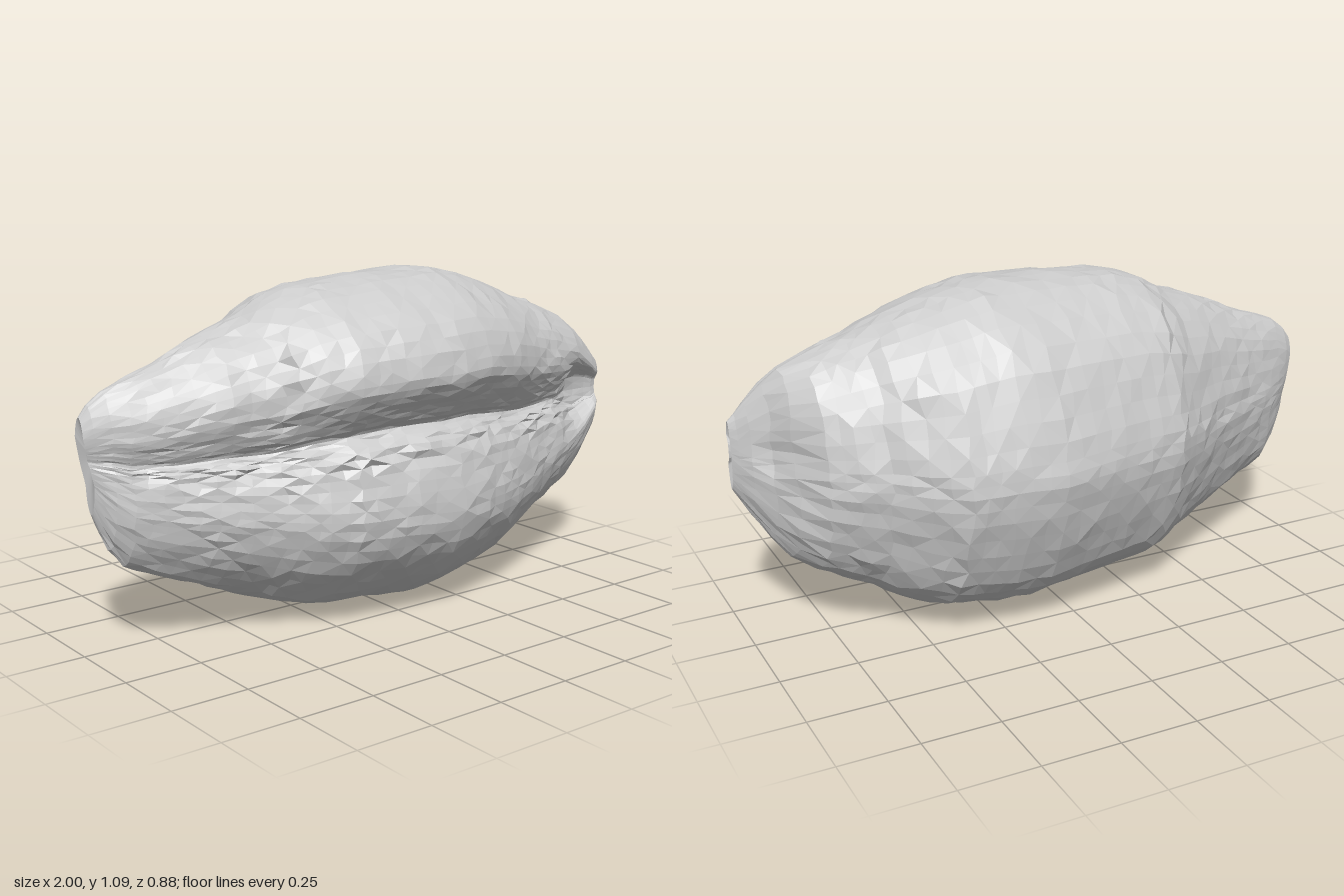
import * as THREE from 'three';

// Stations along the shell: x, bottom, top, back, front
const stations = [
  [-1.0, 0.44, 0.735, -0.01, 0.05],
  [-0.975, 0.385, 0.77, -0.025, 0.07],
  [-0.93, 0.33, 0.805, -0.045, 0.1],
  [-0.88, 0.275, 0.825, -0.07, 0.125],
  [-0.75, 0.215, 0.87, -0.125, 0.175],
  [-0.6, 0.155, 0.935, -0.2, 0.235],
  [-0.46, 0.1, 0.98, -0.285, 0.295],
  [-0.42, 0.085, 1.0, -0.31, 0.32],
  [-0.34, 0.055, 1.04, -0.36, 0.36],
  [-0.25, 0.035, 1.065, -0.377, 0.395],
  [-0.05, 0.022, 1.08, -0.415, 0.43],
  [0.12, 0, 1.087, -0.44, 0.435],
  [0.24, 0.01, 1.09, -0.436, 0.415],
  [0.42, 0.04, 1.05, -0.41, 0.365],
  [0.52, 0.075, 1.015, -0.34, 0.325],
  [0.62, 0.135, 0.97, -0.265, 0.285],
  [0.7, 0.175, 0.945, -0.23, 0.26],
  [0.78, 0.215, 0.91, -0.185, 0.235],
  [0.85, 0.26, 0.88, -0.1, 0.21],
  [0.9, 0.32, 0.83, -0.015, 0.195],
  [0.95, 0.4, 0.77, 0.045, 0.18],
  [0.98, 0.45, 0.73, 0.085, 0.17],
  [1.0, 0.485, 0.71, 0.11, 0.155],
];

// Unit cross-section (forward, up): from the slit over the top, down the back, round to the lower lip
const profile = [
  [0.74, 0.13], [0.8, 0.18], [0.86, 0.25], [0.93, 0.33], [0.99, 0.43], [0.97, 0.57], [0.85, 0.73],
  [0.6, 0.88], [0.35, 0.97], [0.12, 1], [-0.12, 0.98], [-0.4, 0.88], [-0.7, 0.66], [-0.86, 0.4],
  [-0.97, 0.15], [-1, 0], [-0.96, -0.2], [-0.86, -0.45], [-0.72, -0.68], [-0.48, -0.85],
  [-0.15, -0.97], [0.15, -1], [0.43, -0.94], [0.7, -0.78], [0.89, -0.6], [0.98, -0.44], [1, -0.32],
  [0.97, -0.18], [0.92, -0.05], [0.87, 0.04], [0.8, 0.09],
];

// Height of the slit wandering along the shell
const slitWave = (x) => 0.015 * Math.cos(4.5 * (x - 0.05)) * (1 - x * x);

const bump = (t, width) => Math.exp(-((t / width) ** 2));

function seededRandom(seed) {
  return () => {
    seed = (seed * 16807) % 2147483647;
    return seed / 2147483647 - 0.5;
  };
}

function stationAt(x) {
  let i = 0;
  while (i < stations.length - 2 && stations[i + 1][0] < x) i++;
  const a = stations[i], b = stations[i + 1];
  const t = (x - a[0]) / (b[0] - a[0]);
  return a.map((v, k) => v + (b[k] - v) * t);
}

function shellGeometry() {
  const random = seededRandom(4711);
  const n = 66;
  const outline = new THREE.CatmullRomCurve3(
    profile.map(([u, v]) => new THREE.Vector3(u, v, 0)), true).getPoints(n).slice(0, n);

  // Keep every station and add intermediate rings on the long spans
  const xs = [];
  for (let i = 0; i < stations.length - 1; i++) {
    const a = stations[i][0], b = stations[i + 1][0];
    const steps = Math.max(1, Math.round((b - a) / 0.05));
    for (let k = 0; k < steps; k++) xs.push(a + ((b - a) * k) / steps);
  }
  xs.push(1);

  const pos = [], idx = [];
  xs.forEach((x, r) => {
    const [, bottom, top, back, front] = stationAt(x);
    const zc = (front + back) / 2, zr = (front - back) / 2;
    const yc = (top + bottom) / 2, yr = (top - bottom) / 2;
    const rough = Math.min(1, (1 - Math.abs(x)) * 6);
    // The slit widens and deepens into a channel at the right-hand tip
    const channel = THREE.MathUtils.smoothstep(x, 0.72, 0.95);
    // The lower half of the left-hand tip is set back
    const tip = THREE.MathUtils.smoothstep(-x, 0.9, 1) * 0.03;
    outline.forEach((p) => {
      const near = p.x > 0.4 ? Math.max(0, 1 - Math.abs(p.y - 0.13) / 0.45) : 0;
      const opening = channel * near * THREE.MathUtils.clamp((p.y - 0.13) * 4, -0.2, 0.2);
      const depth = 1 - channel * near * 0.6;
      // The upper lip starts with a small step
      const step = p.x > 0.2 && p.y > 0.3 && x < -0.44 && x > -0.6 ? 0.96 : 1;
      // Hollow behind the right-hand tip
      const hollow = p.x < 0 ? 0.045 * bump(x - 0.86, 0.07) * bump(p.y - 0.2, 0.4) * -p.x : 0;
      // Uneven teeth on the edge of the lower lip
      const onEdge = p.x > 0.76 && p.x < 0.93 && p.y > -0.06 && p.y < 0.11;
      const teeth = onEdge ? random() * 0.025 * rough : 0;
      const swell = 1 + random() * 0.016 * rough;
      pos.push(
        x + random() * 0.018 * rough + tip * THREE.MathUtils.clamp(0.6 - p.y, 0, 1),
        yc + (p.y + opening) * yr * swell + near * slitWave(x),
        zc + p.x * depth * step * zr * swell + teeth + hollow);
    });
    if (r === 0) return;
    for (let j = 0; j < n; j++) {
      const a = (r - 1) * n + j, b = (r - 1) * n + ((j + 1) % n);
      const c = a + n, d = b + n;
      if ((j + r) % 2) idx.push(a, c, b, b, c, d);
      else idx.push(a, c, d, a, d, b);
    }
  });

  // Slightly hollow ends
  const last = (xs.length - 1) * n, leftTip = xs.length * n, rightTip = leftTip + 1;
  pos.push(-0.96, 0.61, 0.02, 0.97, 0.6, 0.125);
  for (let j = 0; j < n; j++) {
    const k = (j + 1) % n;
    idx.push(leftTip, j, k, rightTip, last + k, last + j);
  }

  const geometry = new THREE.BufferGeometry();
  geometry.setAttribute('position', new THREE.Float32BufferAttribute(pos, 3));
  geometry.setIndex(idx);
  geometry.computeVertexNormals();
  return geometry;
}

export function createModel() {
  const group = new THREE.Group();
  group.name = 'seashell';
  const material = new THREE.MeshStandardMaterial({
    color: 0xcccccc, flatShading: true, side: THREE.DoubleSide,
  });
  const shell = new THREE.Mesh(shellGeometry(), material);
  shell.name = 'shellBody';
  group.add(shell);
  return group;
}
